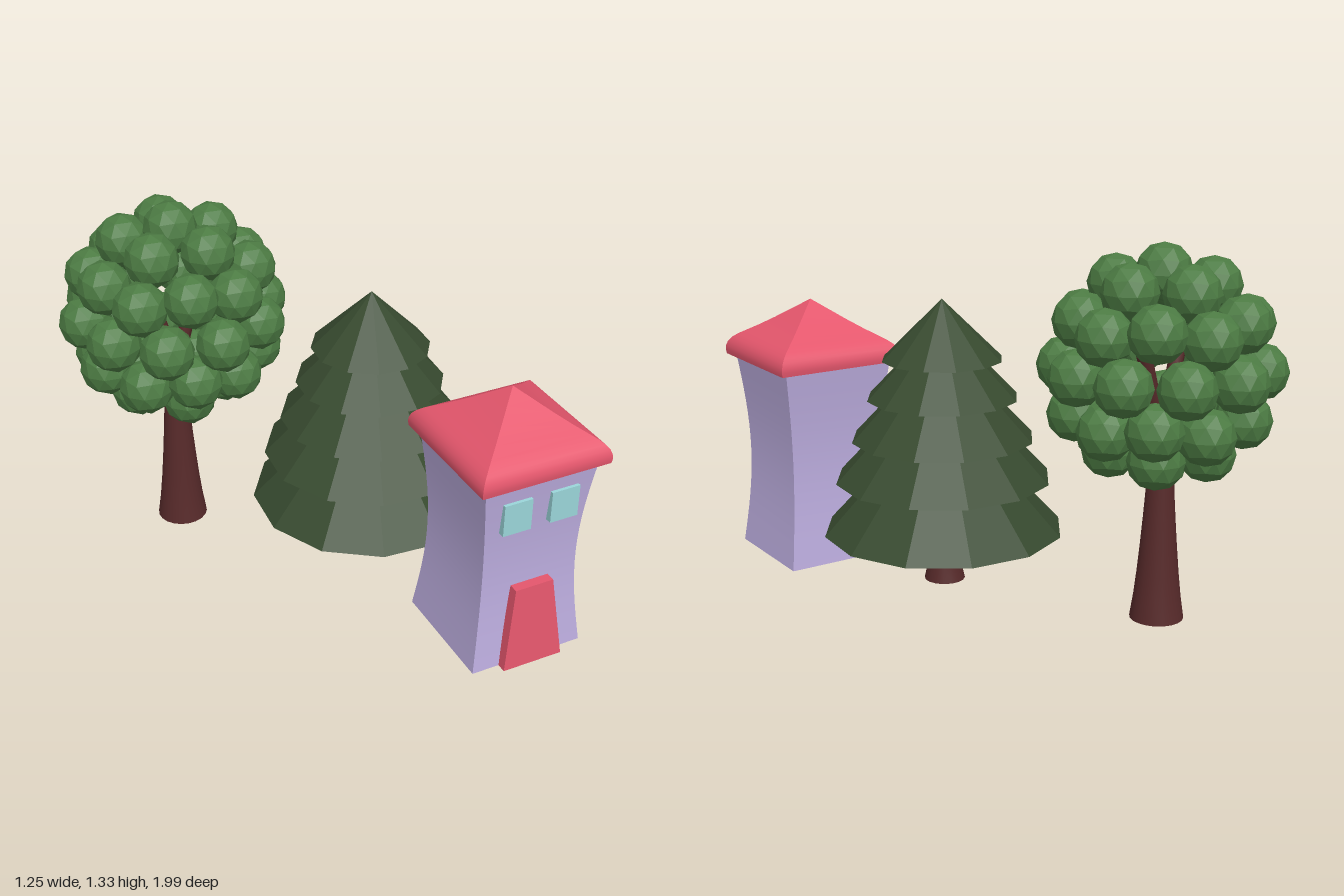
import * as THREE from 'three';
import { toCreasedNormals } from 'three/addons/utils/BufferGeometryUtils.js';

export function createModel() {
  const mat = (name, color, flatShading = false) => {
    const m = new THREE.MeshStandardMaterial({ color, flatShading });
    m.name = name;
    return m;
  };
  const lilac = mat('lilac wall', 0xbbacdd);
  const red = mat('red paint', 0xe4566c);
  const glass = mat('window glass', 0x9ad5d9);
  const bark = mat('bark', 0x572a2a);
  const leaf = mat('leaf green', 0x4c7b43, true);
  const needle = mat('needle green', 0x374a2f, true);

  const add = (parent, name, geo, material, x = 0, y = 0, z = 0) => {
    const m = new THREE.Mesh(geo, material);
    m.name = name;
    m.position.set(x, y, z);
    parent.add(m);
    return m;
  };
  const group = (parent, name, x = 0, y = 0, z = 0) => {
    const g = new THREE.Group();
    g.name = name;
    g.position.set(x, y, z);
    parent.add(g);
    return g;
  };
  const lathe = (pts, sides) => toCreasedNormals(
    new THREE.LatheGeometry(pts.map(([r, y]) => new THREE.Vector2(r, y)), sides), 0.7);
  // Square cross-section: r is half the side length
  const squareLathe = (pts) => toCreasedNormals(
    new THREE.LatheGeometry(pts.map(([r, y]) => new THREE.Vector2(r * Math.SQRT2, y)), 4, Math.PI / 4), 0.6);
  // Subdivided icosahedron standing on one corner
  const icoBall = (r) => new THREE.IcosahedronGeometry(r, 1)
    .rotateZ(-Math.atan(2 / (1 + Math.sqrt(5))));

  const model = new THREE.Group();
  model.name = 'villageCorner';

  // House, turned slightly
  const house = group(model, 'house', 0.262, 0, 0.714);
  house.rotation.y = -0.187;

  // Walls pinched in at the middle
  const wall = [[0, 0.06]];
  for (let i = 0; i <= 16; i++) {
    const t = i / 16;
    wall.push([0.212 - 0.03 * Math.sin(Math.PI * t), 0.06 + 0.745 * t]);
  }
  wall.push([0, 0.805]);
  add(house, 'walls', squareLathe(wall), lilac);

  // Roof with rounded eaves
  add(house, 'roof', squareLathe([
    [0, 0.803], [0.239, 0.803], [0.2415, 0.82], [0.24, 0.835], [0.234, 0.852],
    [0.222, 0.868], [0.205, 0.882], [0.18, 0.898], [0.145, 0.92],
    [0.1, 0.951], [0.05, 0.988], [0, 1.025],
  ]), red);

  // Windows
  for (const side of [-1, 1]) {
    add(house, side < 0 ? 'rightWindow' : 'leftWindow',
      new THREE.BoxGeometry(0.105, 0.118, 0.04), glass, side * 0.089 + 0.005, 0.67, 0.194);
  }

  // Door, tapering upward and leaning with the wall
  const door = new THREE.BoxGeometry(0.226, 0.31, 0.1);
  const p = door.attributes.position;
  for (let i = 0; i < p.count; i++) {
    const top = p.getY(i) > 0;
    const back = p.getZ(i) < 0;
    if (top) p.setX(i, p.getX(i) * 0.64);
    if (back) p.setZ(i, top ? 0.17 : 0.211);
    else p.setZ(i, top ? 0.218 : 0.246);
  }
  door.computeVertexNormals();
  add(house, 'door', door, red, 0.003, 0.215, 0);

  // Pine: stacked cones
  const pine = group(model, 'pineTree', 0.203, 0, 0.057);
  add(pine, 'pineTrunk', lathe([
    [0, 0.095], [0.072, 0.095], [0.06, 0.15], [0.051, 0.21], [0.046, 0.28], [0.043, 0.36],
  ], 16), bark, 0.005, 0, -0.008);
  const tiers = [
    [0.425, 0.281, 0.465], [0.381, 0.469, 0.41], [0.322, 0.614, 0.345],
    [0.266, 0.759, 0.28], [0.212, 0.895, 0.211],
  ];
  tiers.forEach(([r, y, h], i) => {
    add(pine, 'pineTier' + (i + 1), new THREE.ConeGeometry(r, h, 12), needle, 0, y + h / 2, 0);
  });

  // Round tree: flared trunk and two branches
  const tree = group(model, 'roundTree', -0.218, 0, -0.57);
  add(tree, 'trunk', lathe([
    [0, 0], [0.095, 0], [0.083, 0.08], [0.073, 0.17], [0.064, 0.27],
    [0.056, 0.37], [0.049, 0.47], [0.043, 0.6], [0.035, 0.72], [0, 0.75],
  ], 20), bark, -0.013);
  for (const side of [-1, 1]) {
    const curve = new THREE.QuadraticBezierCurve3(
      new THREE.Vector3(-0.013, 0.62, 0),
      new THREE.Vector3(side * 0.03, 0.78, 0),
      new THREE.Vector3(side * 0.1, 0.98, 0));
    add(tree, side < 0 ? 'rightBranch' : 'leftBranch',
      new THREE.TubeGeometry(curve, 8, 0.026, 8), bark);
  }

  // Crown: one leaf ball on every corner of a larger ball
  const crown = group(tree, 'crown', 0, 0.9, 0);
  const spots = icoBall(0.326).attributes.position;
  const ball = icoBall(0.099);
  const seen = new Set();
  for (let i = 0; i < spots.count; i++) {
    const v = new THREE.Vector3().fromBufferAttribute(spots, i);
    const key = v.toArray().map((n) => Math.round(n * 1000) + 0).join();
    if (seen.has(key)) continue;
    seen.add(key);
    add(crown, 'leafBall' + seen.size, ball, leaf, v.x, v.y, v.z);
  }

  return model;
}
